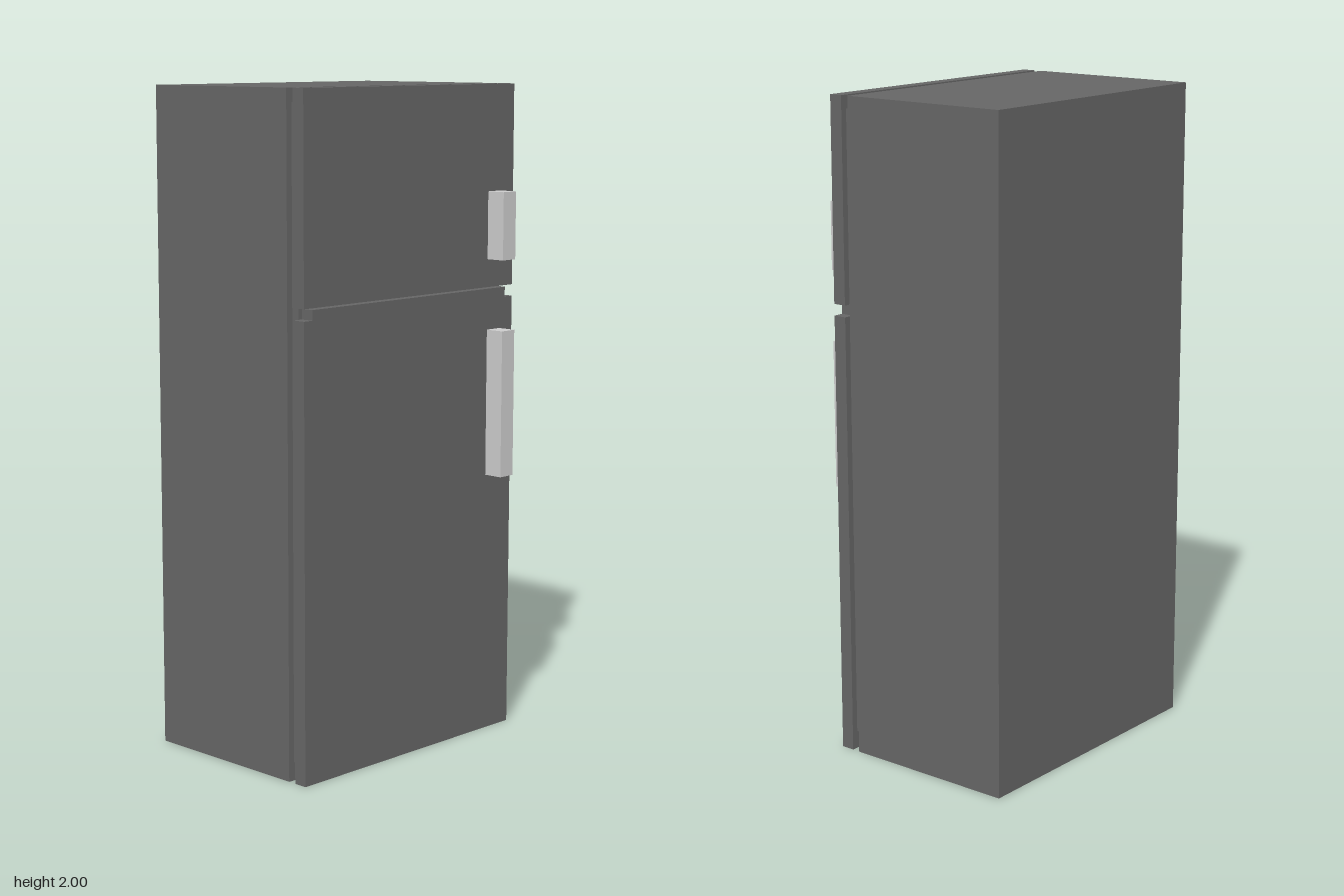
import * as THREE from 'three';

const dark = new THREE.MeshStandardMaterial({ color: 0x666666 });
const grey = new THREE.MeshStandardMaterial({ color: 0xcccccc });

// Box given by its lower and upper limits on each axis
function box(name, material, [x0, x1], [y0, y1], [z0, z1]) {
  const mesh = new THREE.Mesh(new THREE.BoxGeometry(x1 - x0, y1 - y0, z1 - z0), material);
  mesh.position.set((x0 + x1) / 2, (y0 + y1) / 2, (z0 + z1) / 2);
  mesh.name = name;
  return mesh;
}

export function createModel() {
  const fridge = new THREE.Group();
  fridge.name = 'refrigerator';
  const half = 0.448;
  const seal = [0.21, 0.235];
  const door = [0.235, 0.277];

  // Cabinet and the recessed seals between it and the doors
  fridge.add(
    box('cabinet', dark, [-half, half], [0, 2], [-0.338, 0.21]),
    box('lowerSeal', dark, [-0.428, 0.428], [0.055, 1.345], seal),
    box('middleRail', dark, [-0.428, 0.428], [1.345, 1.38], seal),
    box('upperSeal', dark, [-0.428, 0.428], [1.38, 1.96], seal),
    box('freezerDoor', dark, [-half, half], [1.39, 2], door)
  );

  // Lower door, notched at both top corners
  const notch = 0.415, shoulder = 1.355, top = 1.385;
  const outline = new THREE.Shape([
    [-half, 0], [half, 0], [half, shoulder], [notch, shoulder],
    [notch, top], [-notch, top], [-notch, shoulder], [-half, shoulder]
  ].map(([x, y]) => new THREE.Vector2(x, y)));
  const lowerDoor = new THREE.Mesh(
    new THREE.ExtrudeGeometry(outline, { depth: door[1] - door[0], bevelEnabled: false }), dark);
  lowerDoor.position.z = door[0];
  lowerDoor.name = 'lowerDoor';
  fridge.add(lowerDoor);

  // Block handles on the doors
  for (const [name, span] of [['freezerHandle', [1.475, 1.68]], ['lowerHandle', [0.81, 1.26]]]) {
    fridge.add(box(name, grey, [0.333, 0.39], span, [door[1], 0.338]));
  }
  return fridge;
}
